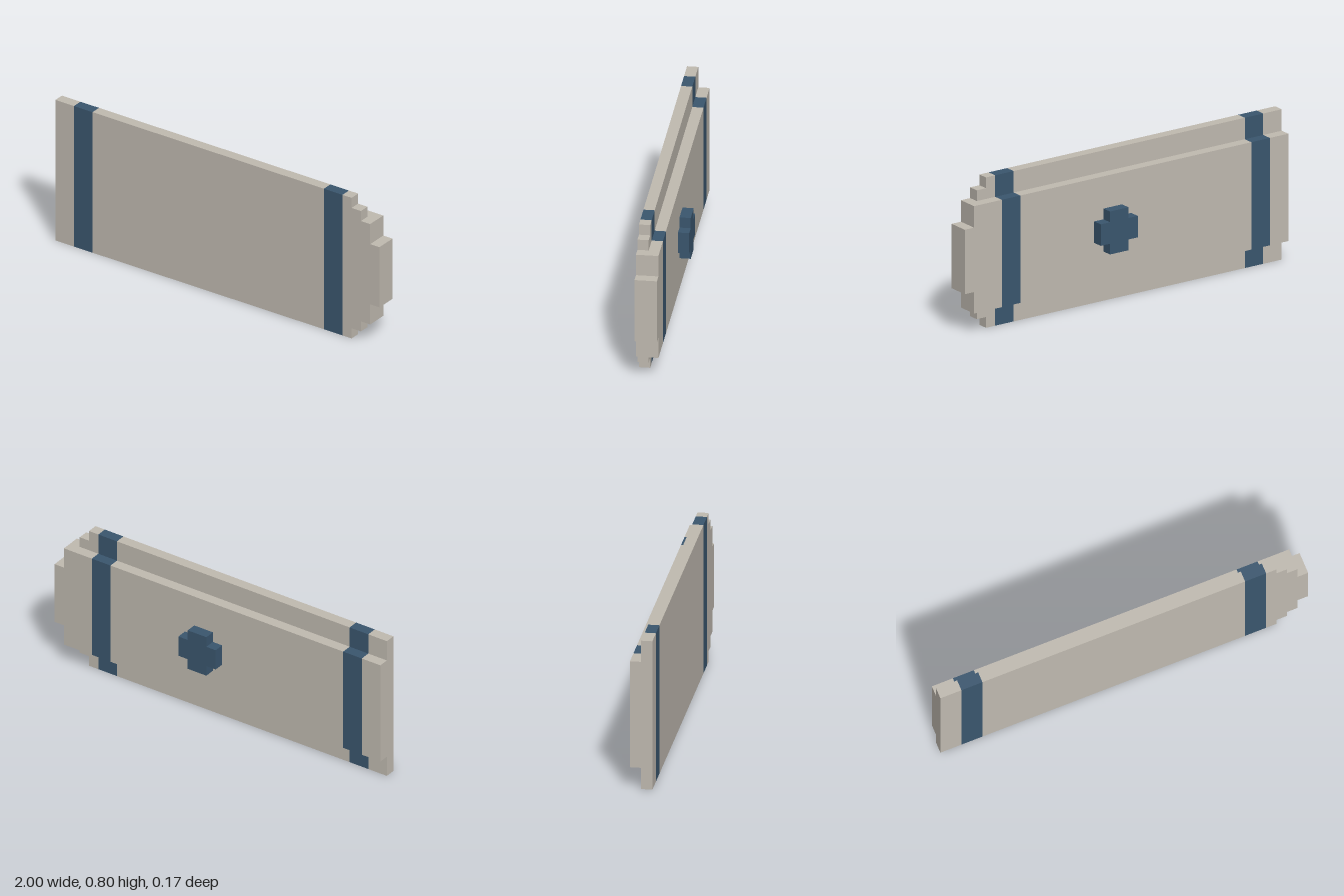
import * as THREE from 'three';

const U = 2 / 35; // one grid step: 35 long, 14 high, 3 deep

export function createModel() {
  const model = new THREE.Group();
  model.name = 'bandedPanel';

  const stone = new THREE.MeshStandardMaterial({ color: 0xc0bab0 });
  stone.name = 'warm grey';
  const blue = new THREE.MeshStandardMaterial({ color: 0x3a566e });
  blue.name = 'slate blue';

  // Extrudes an outline given in grid steps; z0 is its back, one step deep
  function slab(name, points, z0, material, parent) {
    const shape = new THREE.Shape(
      points.map(([x, y]) => new THREE.Vector2(x * U - 1, y * U)));
    const geometry = new THREE.ExtrudeGeometry(shape, { depth: U, bevelEnabled: false });
    geometry.translate(0, 0, z0 * U);
    const mesh = new THREE.Mesh(geometry, material);
    mesh.name = name;
    parent.add(mesh);
  }

  const rect = (x0, x1, y0, y1) => [[x0, y0], [x1, y0], [x1, y1], [x0, y1]];

  // Stepped right-hand end: lower steps, then the same mirrored about mid-height
  function steppedEnd(x0, lower) {
    const upper = lower.map(([x, y]) => [x, 14 - y]).reverse();
    return [[x0, lower[0][1]], ...lower, ...upper, [x0, 14 - lower[0][1]]];
  }

  // A layer is a row of alternating plain and banded pieces ending in steps
  function layer(name, z0, margin, steps) {
    const group = new THREE.Group();
    group.name = name;
    const cuts = [0, 2, 4, 29, 31];
    for (let i = 0; i < cuts.length - 1; i++) {
      const band = i % 2 === 1;
      slab(band ? 'band' : 'panel', rect(cuts[i], cuts[i + 1], margin, 14 - margin),
        z0, band ? blue : stone, group);
    }
    slab('steppedEnd', steppedEnd(31, steps), z0, stone, group);
    model.add(group);
  }

  layer('frontLayer', 0.5, 0,
    [[32, 0], [32, 1], [33, 1], [33, 2], [34, 2], [34, 4], [35, 4]]);
  layer('backLayer', -0.5, 2, [[34, 2], [34, 4], [35, 4]]);

  // Cross-shaped boss on the back
  slab('backBoss', [
    [18, 5], [20, 5], [20, 6], [21, 6], [21, 8], [20, 8],
    [20, 9], [18, 9], [18, 8], [17, 8], [17, 6], [18, 6],
  ], -1.5, blue, model);

  return model;
}
